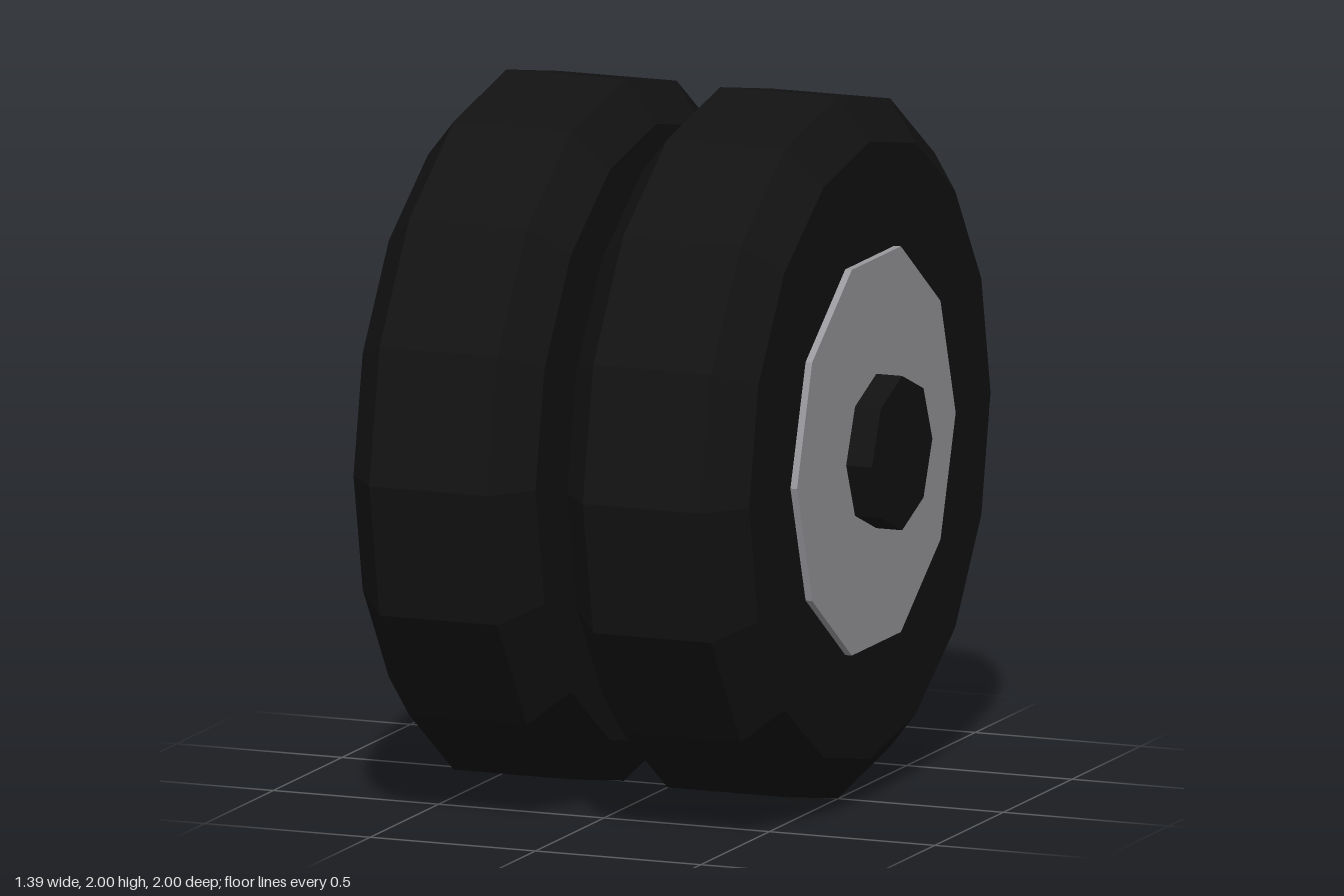
import * as THREE from 'three';

export function createModel() {
  const model = new THREE.Group();
  model.name = 'twinWheel';
  const rubber = new THREE.MeshStandardMaterial({ color: 0x121212, flatShading: true });
  const metal = new THREE.MeshStandardMaterial({ color: 0x99989d, flatShading: true });

  // Adds a part whose axis is turned from y to x, at wheel-centre height
  function addPart(name, geometry, material, x = 0) {
    geometry.rotateZ(-Math.PI / 2);
    const mesh = new THREE.Mesh(geometry, material);
    mesh.name = name;
    mesh.position.set(x, 1, 0);
    model.add(mesh);
  }

  // Tyres: bevelled 16-sided rings (radius, offset along the axle)
  const profile = [
    [0.5, -0.275], [0.88, -0.275], [1, -0.178],
    [1, 0.178], [0.88, 0.275], [0.5, 0.275],
  ].map(([r, y]) => new THREE.Vector2(r, y));
  for (const [name, x] of [['leftTyre', 0.321], ['rightTyre', -0.325]]) {
    addPart(name, new THREE.LatheGeometry(profile, 16), rubber, x);
  }

  // Ten-sided hub running through both tyres
  addPart('hub', new THREE.CylinderGeometry(0.578, 0.578, 1.236, 10), metal, -0.002);

  // Eight-sided axle with its ends showing outside the hub
  addPart('axle', new THREE.CylinderGeometry(0.22, 0.22, 1.388, 8), rubber);

  return model;
}
